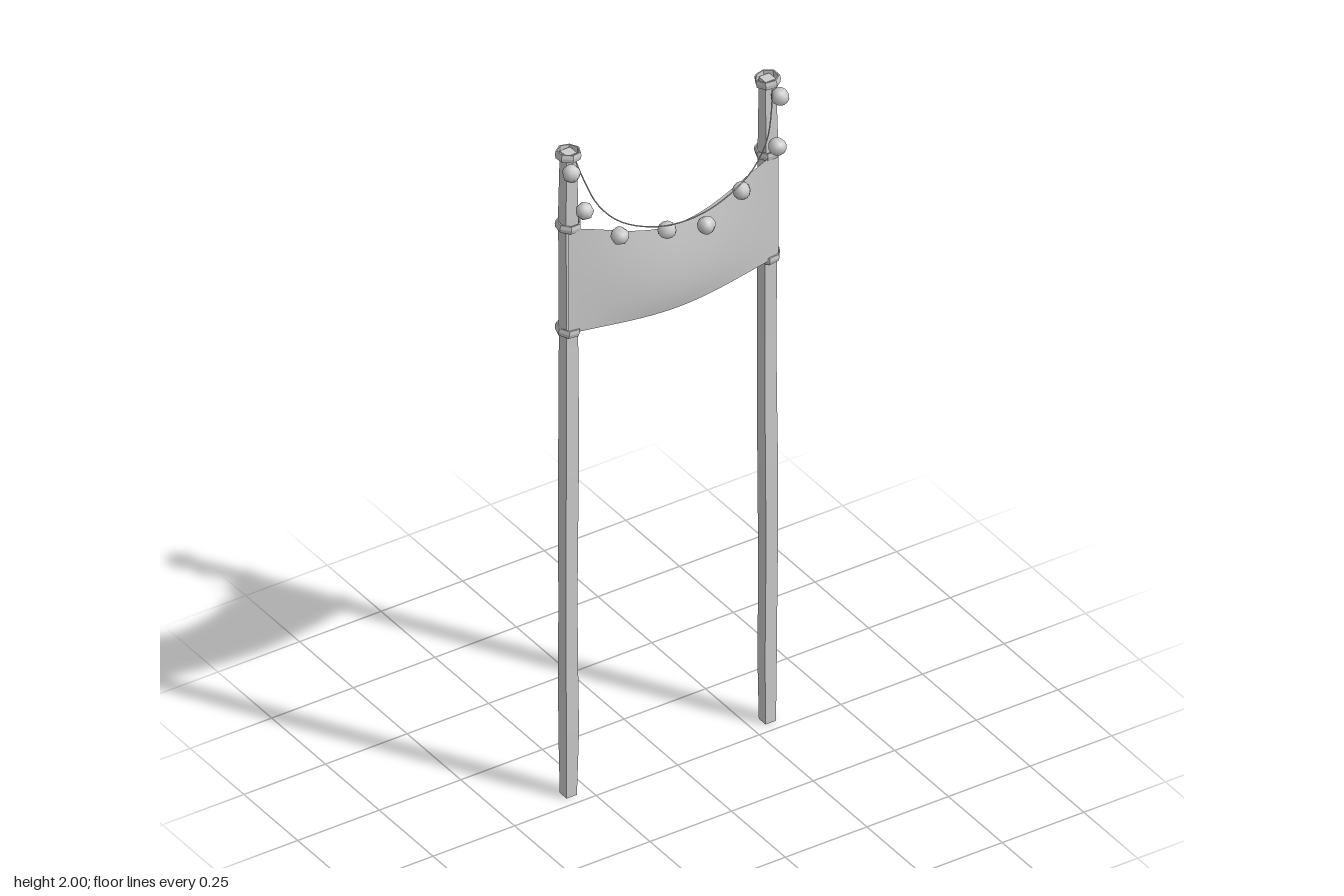
import * as THREE from 'three';

const grey = new THREE.MeshStandardMaterial({ color: 0xcccccc });
const flatGrey = new THREE.MeshStandardMaterial({ color: 0xcccccc, flatShading: true });
const thinGrey = new THREE.MeshStandardMaterial({ color: 0xcccccc, side: THREE.DoubleSide });

const POST_X = 0.305, POST_Z = -0.046;

function add(parent, name, geometry, material, x = 0, y = 0, z = 0) {
  const mesh = new THREE.Mesh(geometry, material);
  mesh.name = name;
  mesh.position.set(x, y, z);
  parent.add(mesh);
  return mesh;
}

// Rough-hewn square post: slightly wavering sections, chamfered at both ends
function postGeometry(phase) {
  const height = 1.99;
  const geo = new THREE.BoxGeometry(0.037, height, 0.037, 1, 10, 1);
  const p = geo.attributes.position;
  for (let i = 0; i < p.count; i++) {
    let y = p.getY(i) + height / 2;
    const end = y < 0.01 || y > height - 0.01;
    const s = end ? 0.86 : 1 + 0.04 * Math.sin(y * 7 + phase);
    const wobble = end ? 0 : 0.0012;
    p.setXYZ(i,
      p.getX(i) * s + wobble * Math.sin(y * 5 + phase * 2),
      y,
      p.getZ(i) * s + wobble * Math.cos(y * 6 + phase));
  }
  geo.computeVertexNormals();
  return geo;
}

// Thin seven-sided band tied around a post
function bandGeometry() {
  const h = 0.011;
  const profile = [[0.029, -h], [0.033, -h], [0.035, 0], [0.033, h], [0.029, h], [0.029, -h]];
  return new THREE.LatheGeometry(profile.map(([r, y]) => new THREE.Vector2(r, y)), 7);
}

// Cloth panel: sagging top and bottom edges, bellied toward the front
function bannerGeometry() {
  const geo = new THREE.PlaneGeometry(2, 1, 24, 10);
  const p = geo.attributes.position;
  for (let i = 0; i < p.count; i++) {
    const u = p.getX(i), v = p.getY(i) + 0.5;
    const sag = (1 + Math.cos(Math.PI * u)) / 2 * 0.45 + (1 - u * u) * 0.55;
    const top = 1.772 - 0.094 * sag;
    const bottom = 1.445 - 0.022 * sag;
    const belly = 0.019 + 0.013 * Math.sin(Math.PI * Math.pow(v, 0.8)) + 0.006 * (1 - v);
    p.setXYZ(i, u * 0.322, THREE.MathUtils.lerp(bottom, top, v), -0.021 + belly * sag);
  }
  geo.computeVertexNormals();
  return geo;
}

// Hanging cord, mirrored about the middle
function cordCurve() {
  const half = [[0.303, 1.985, -0.022], [0.287, 1.92, 0.0], [0.258, 1.845, 0.02],
    [0.2, 1.78, 0.034], [0.1, 1.731, 0.043]];
  const left = half.map(([x, y, z]) => new THREE.Vector3(-x, y, z));
  const right = half.map((a) => new THREE.Vector3(...a)).reverse();
  return new THREE.CatmullRomCurve3([...left, new THREE.Vector3(0, 1.716, 0.046), ...right]);
}

export function createModel() {
  const model = new THREE.Group();
  model.name = 'bannerGate';

  // Posts with their tied bands
  for (const side of [-1, 1]) {
    const label = side > 0 ? 'left' : 'right';
    const group = new THREE.Group();
    group.name = label + 'PostAssembly';
    group.position.set(side * POST_X, 0, POST_Z);
    model.add(group);
    add(group, label + 'Post', postGeometry(side + 1.5), flatGrey);
    [1.984, 1.766, 1.445].forEach((y, i) => {
      const band = add(group, label + 'Band' + (i + 1), bandGeometry(), flatGrey, 0, y, 0);
      band.rotation.set(0.07 * (i - 1), side * (0.2 + i * 0.15), side * 0.07);
    });
  }

  add(model, 'banner', bannerGeometry(), thinGrey);
  add(model, 'cord', new THREE.TubeGeometry(cordCurve(), 40, 0.0018, 5), grey);

  // Round baubles strung along the cord
  const baubles = [
    [-0.321, 1.95, -0.008], [-0.286, 1.826, 0.001], [-0.192, 1.726, 0.022], [-0.051, 1.693, 0.027],
    [0.055, 1.682, 0.05], [0.181, 1.726, 0.023], [0.287, 1.826, 0.028], [0.318, 1.95, -0.006],
  ];
  const ball = new THREE.SphereGeometry(0.0245, 7, 6);
  baubles.forEach(([x, y, z], i) => {
    add(model, 'bauble' + (i + 1), ball, grey, x, y, z).rotation.set(i * 0.3, i * 0.9, i * 0.4);
  });

  return model;
}
